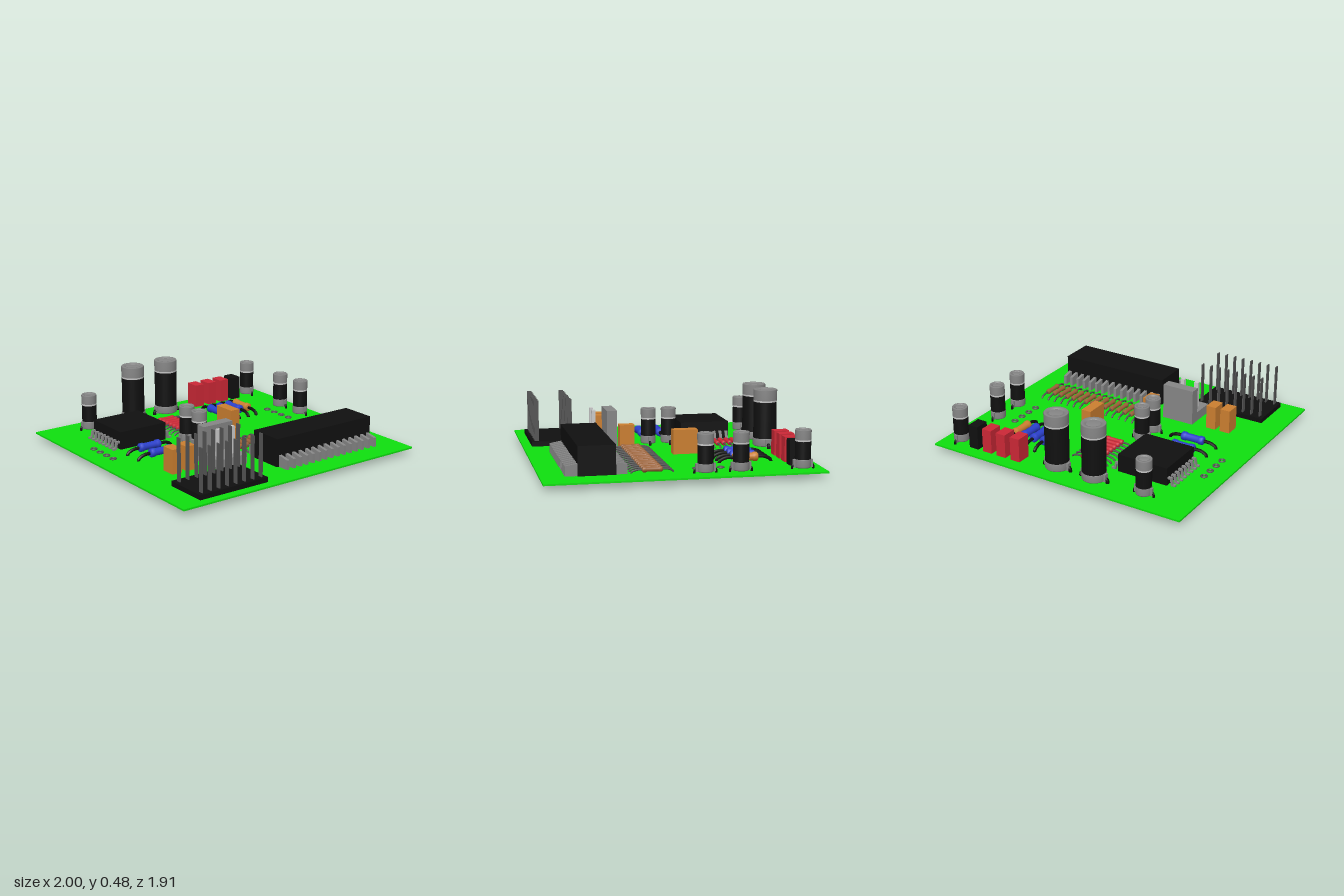
import * as THREE from 'three';

const COLORS = {
  green: 0x0fe00f, black: 0x101010, grey: 0x868686, pale: 0xcccccc,
  orange: 0xcc7f30, red: 0xcc2836, blue: 0x2b40cc, brown: 0x9a6238, steel: 0x555555,
};
const mats = {};
for (const [k, color] of Object.entries(COLORS)) {
  mats[k] = new THREE.MeshStandardMaterial({ color, side: THREE.DoubleSide });
}
const TOP = 0.05; // upper face of the board

function mesh(name, geo, mat, parent) {
  const m = new THREE.Mesh(geo, mats[mat]);
  m.name = name;
  parent.add(m);
  return m;
}

// box from its limits on each axis
function box(name, x0, x1, y0, y1, z0, z1, mat, parent) {
  const m = mesh(name, new THREE.BoxGeometry(x1 - x0, y1 - y0, z1 - z0), mat, parent);
  m.position.set((x0 + x1) / 2, (y0 + y1) / 2, (z0 + z1) / 2);
  return m;
}

function lathe(name, pts, mat, parent, seg = 24) {
  return mesh(name, new THREE.LatheGeometry(pts.map(p => new THREE.Vector2(...p)), seg), mat, parent);
}

function group(name, parent, x = 0, y = 0, z = 0, turned = false) {
  const g = new THREE.Group();
  g.name = name;
  g.position.set(x, y, z);
  if (turned) g.rotation.y = Math.PI / 2;
  parent.add(g);
  return g;
}

// axial resistor lying along x (or z when turned), with leads bent to the board
function resistor(parent, x, z, turned, o) {
  const g = group('resistor', parent, x, TOP, z, turned);
  const { body: b, span: s, r, lead, color, leadColor } = o;
  const h = b / 2, y = r + 0.004;
  const body = lathe('resistorBody', [
    [0, -h], [r * 0.7, -h], [r, -h * 0.9], [r, -h * 0.62], [r * 0.84, -h * 0.52],
    [r * 0.84, h * 0.52], [r, h * 0.62], [r, h * 0.9], [r * 0.7, h], [0, h],
  ], color, g, 14);
  body.rotation.z = Math.PI / 2;
  body.position.y = y;
  for (const d of [-1, 1]) {
    const path = new THREE.CatmullRomCurve3([
      [d * h * 0.95, y], [d * (h + (s / 2 - h) * 0.5), y * 0.9],
      [d * (s / 2 - lead), lead], [d * (s / 2 - lead * 0.5), -0.012],
    ].map(([px, py]) => new THREE.Vector3(px, py, 0)));
    mesh('resistorLead', new THREE.TubeGeometry(path, 10, lead, 7), leadColor, g);
  }
}

// upright can capacitor: grey foot, black sleeve, pale ring, grey cap with a groove
function capacitor(parent, x, z, r, top, turned) {
  const g = group('capacitor', parent, x, 0, z, turned);
  const foot = 0.12, sleeve = top - (r > 0.07 ? 0.092 : 0.08);
  lathe('capacitorFoot', [[0, 0.06], [r * 0.93, 0.06], [r, 0.068], [r, foot - 0.006], [r * 0.95, foot]], 'grey', g);
  lathe('capacitorSleeve', [[r * 0.97, foot - 0.002], [r * 0.97, sleeve]], 'black', g);
  lathe('capacitorRing', [[r * 0.97, sleeve], [r * 0.98, sleeve + 0.012]], 'pale', g);
  lathe('capacitorCap', [
    [r * 0.98, sleeve + 0.012], [r, top - 0.006], [r * 0.95, top], [r * 0.7, top],
    [r * 0.66, top - 0.012], [r * 0.58, top - 0.012], [r * 0.54, top - 0.004], [0, top - 0.004],
  ], 'grey', g);
  for (const d of [-1, 1]) {
    const path = new THREE.CatmullRomCurve3([
      new THREE.Vector3(d * r * 0.8, 0.078, 0),
      new THREE.Vector3(d * (r + 0.014), 0.076, 0),
      new THREE.Vector3(d * (r + 0.02), 0.036, 0),
    ]);
    mesh('capacitorLeg', new THREE.TubeGeometry(path, 8, r * 0.15, 8), 'black', g);
    box('capacitorLug', d * r - 0.012, d * r + 0.012, 0.06, 0.115, -r * 0.2, r * 0.2, 'grey', g);
  }
}

export function createModel() {
  const model = new THREE.Group();
  model.name = 'circuitBoard';
  box('board', -1, 1, 0.038, TOP, -0.955, 0.955, 'green', model);

  // Square chip set through the board, with bent pins on both sides
  const chip = group('chip', model);
  box('chipBody', -0.705, -0.32, 0.01, 0.18, -0.608, -0.242, 'black', chip);
  const bend = new THREE.Shape([
    [0, 0.11], [0.03, 0.11], [0.04, 0.062], [0.06, 0.062], [0.06, 0.05], [0.028, 0.05], [0.02, 0.096], [0, 0.096],
  ].map(p => new THREE.Vector2(...p)));
  const bendGeo = new THREE.ExtrudeGeometry(bend, { depth: 0.02, bevelEnabled: false });
  bendGeo.translate(0, 0, -0.01);
  for (let i = 0; i < 8; i++) {
    const z = -0.588 + i * 0.0465;
    mesh('chipPin', bendGeo, 'grey', chip).position.set(-0.322, 0, z);
    const left = mesh('chipPin', bendGeo, 'grey', chip);
    left.position.set(-0.703, 0, z);
    left.rotation.y = Math.PI;
  }

  // Pin header with two rows of tall blades
  const header = group('pinHeader', model);
  box('headerBase', -0.826, -0.274, TOP, 0.085, 0.566, 0.89, 'black', header);
  for (let i = 0; i < 8; i++) {
    const x = -0.793 + i * 0.0695;
    for (const z of [0.607, 0.852]) {
      box('headerPin', x - 0.004, x + 0.004, 0.06, 0.388, z - 0.017, z + 0.017, 'steel', header);
    }
  }

  // Long connector with a comb of plates reaching below the board
  const connector = group('longConnector', model);
  box('connectorBody', -0.047, 0.813, TOP, 0.252, 0.451, 0.706, 'black', connector);
  const plate = new THREE.Shape([
    [0.375, 0], [0.58, 0.026], [0.79, 0], [0.79, 0.118], [0.7, 0.135], [0.46, 0.135], [0.375, 0.118],
  ].map(([z, y]) => new THREE.Vector2(-z, y)));
  const plateGeo = new THREE.ExtrudeGeometry(plate, { depth: 0.022, bevelEnabled: false });
  plateGeo.translate(0, 0, -0.011);
  plateGeo.rotateY(Math.PI / 2);
  for (let i = 0; i < 15; i++) {
    mesh('connectorPin', plateGeo, 'grey', connector).position.x = -0.018 + i * 0.0576;
  }

  // Small two-pin socket
  const socket = group('twoPinSocket', model);
  box('socketBase', -0.405, -0.16, TOP, 0.12, 0.275, 0.52, 'grey', socket);
  box('socketBackWall', -0.405, -0.16, 0.12, 0.315, 0.275, 0.35, 'grey', socket);
  for (const x of [-0.347, -0.232]) {
    box('socketPin', x - 0.016, x + 0.016, 0.11, 0.315, 0.427, 0.453, 'pale', socket);
  }

  // Block components: x, z, width, depth, colour
  for (const [x, z, w, d, c] of [
    [0.36, -0.81, 0.076, 0.108, 'red'], [0.48, -0.81, 0.076, 0.108, 'red'],
    [0.6, -0.81, 0.076, 0.108, 'red'], [0.718, -0.81, 0.076, 0.108, 'black'],
    [-0.663, 0.345, 0.075, 0.108, 'orange'], [-0.55, 0.345, 0.075, 0.108, 'orange'],
    [-0.09, 0.22, 0.076, 0.108, 'orange'], [0.182, -0.152, 0.076, 0.178, 'orange'],
  ]) box('blockComponent', x - w / 2, x + w / 2, TOP, 0.225, z - d / 2, z + d / 2, c, model);

  // Can capacitors
  for (const x of [-0.245, 0.055]) capacitor(model, x, -0.787, 0.087, 0.477, false);
  for (const [x, z, turned] of [
    [-0.635, -0.787, false], [-0.215, -0.12, false], [-0.215, 0.032, false],
    [0.87, -0.81, true], [0.87, -0.38, true], [0.87, -0.137, true],
  ]) capacitor(model, x, z, 0.056, 0.32, turned);

  // Resistors
  const large = { body: 0.18, span: 0.385, r: 0.032, lead: 0.012, color: 'blue', leadColor: 'black' };
  for (const z of [-0.11, 0.03]) resistor(model, -0.55, z, false, large);
  [0.327, 0.412, 0.497, 0.575].forEach((x, i) =>
    resistor(model, x, -0.493, true, { ...large, color: i === 3 ? 'orange' : 'blue' }));
  for (let i = 0; i < 8; i++) {
    resistor(model, -0.08, -0.588 + i * 0.0457, false,
      { body: 0.14, span: 0.295, r: 0.018, lead: 0.007, color: 'red', leadColor: 'steel' });
  }
  for (let i = 0; i < 15; i++) {
    resistor(model, -0.018 + i * 0.0576, 0.205, true,
      { body: 0.14, span: 0.295, r: 0.019, lead: 0.007, color: 'brown', leadColor: 'steel' });
  }

  // Solder rings
  for (const x of [-0.855, 0.73]) {
    for (const z of [-0.365, -0.278, -0.192, -0.106]) {
      const ring = mesh('solderRing', new THREE.TorusGeometry(0.019, 0.007, 8, 18), 'steel', model);
      ring.rotation.x = Math.PI / 2;
      ring.position.set(x, 0.053, z);
    }
  }
  return model;
}
